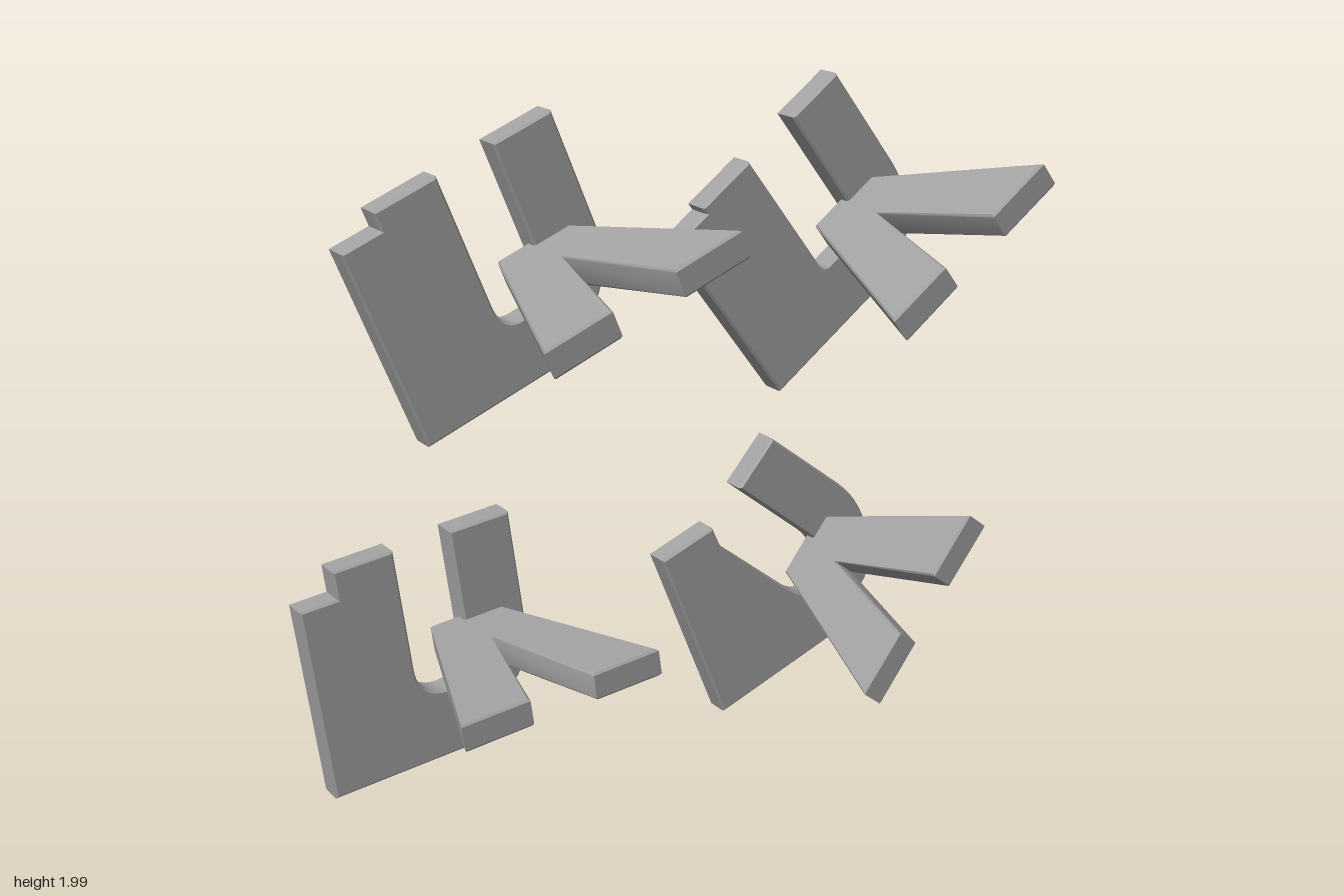
import * as THREE from 'three';
import { toCreasedNormals } from 'three/addons/utils/BufferGeometryUtils.js';

const grey = new THREE.MeshStandardMaterial({ color: 0xa0a0a0 });
grey.name = 'plain grey';

const THICK = 0.08;
const BEVEL = 0.006;

// Outline steps: two numbers draw a line, six numbers draw a bezier curve
function outline(steps) {
  const s = new THREE.Shape();
  s.moveTo(...steps[0]);
  for (const p of steps.slice(1)) {
    if (p.length === 2) s.lineTo(...p);
    else s.bezierCurveTo(...p);
  }
  return s;
}

// Slab with finely chamfered rims, centred on its thickness
function slab(steps) {
  const g = new THREE.ExtrudeGeometry(outline(steps), {
    depth: THICK - 2 * BEVEL, bevelEnabled: true, bevelSegments: 1,
    bevelSize: BEVEL, bevelThickness: BEVEL, bevelOffset: -BEVEL, curveSegments: 14,
  });
  g.translate(0, 0, -THICK / 2 + BEVEL);
  return toCreasedNormals(g, 0.5);
}

// Straight hook plate: heel height, outer bend, top height, slot sides and bend, shoulder width
function hook({ heel, bend, top, slot, slotBend, shoulder, right }) {
  return [
    [0, 0], [0.54, 0], [0.54, heel], bend, [right, top],
    [slot[1], top], ...slotBend, [slot[0], top],
    [shoulder, top], [shoulder, 0.582], [0, 0.582],
  ];
}

const roundHook = hook({
  heel: 0.097, bend: [0.62, 0.16, 0.656, 0.21, 0.656, 0.29], right: 0.656, top: 0.665,
  slot: [0.295, 0.469], shoulder: 0.112,
  slotBend: [[0.469, 0.29], [0.469, 0.172, 0.295, 0.172, 0.295, 0.29]],
});
const softHook = hook({
  heel: 0.063, bend: [0.63, 0.13, 0.667, 0.2, 0.667, 0.3], right: 0.667, top: 0.635,
  slot: [0.311, 0.483], shoulder: 0.12,
  slotBend: [[0.483, 0.25], [0.483, 0.2, 0.46, 0.175, 0.42, 0.175],
    [0.37, 0.175], [0.335, 0.175, 0.311, 0.2, 0.311, 0.25]],
});
const squareHook = hook({
  heel: 0.03, bend: [0.635, 0.07, 0.67, 0.17, 0.67, 0.28], right: 0.67, top: 0.603,
  slot: [0.313, 0.49], shoulder: 0.127,
  slotBend: [[0.49, 0.21], [0.489, 0.19, 0.485, 0.18, 0.465, 0.18],
    [0.338, 0.18], [0.32, 0.18, 0.314, 0.19, 0.313, 0.21]],
});
const leaningHook = [
  [0, 0], [0.54, 0], [0.54, 0.069],
  [0.63, 0.11, 0.68, 0.15, 0.68, 0.25], [0.68, 0.36, 0.67, 0.4, 0.629, 0.472],
  [0.477, 0.728], [0.317, 0.645], [0.48, 0.365],
  [0.53, 0.28, 0.5, 0.19, 0.42, 0.185], [0.38, 0.185, 0.35, 0.245, 0.325, 0.287],
  [0.192, 0.513], [0.188, 0.582], [0, 0.582],
];

// Two-pronged fork, flat in x and z, reaching forward
const forkGeometry = slab([
  [-0.1, 0], [0.1, 0], [0.3, 0.585], [0.096, 0.585], [0, 0.185], [-0.096, 0.585], [-0.3, 0.585],
]);
forkGeometry.rotateX(Math.PI / 2);

// Corner position, tilt, and the fork's place and extra turn on each plate
const units = [
  { name: 'lowerRightUnit', plate: roundHook, at: [-0.881, 0.056, -0.41], tilt: 7.8, fork: [0.481, 0.35], turn: 0 },
  { name: 'upperRightUnit', plate: softHook, at: [-0.69, 1.135, -0.13], tilt: 22.4, fork: [0.486, 0.295], turn: 0 },
  { name: 'upperLeftUnit', plate: squareHook, at: [0.407, 1.111, -0.13], tilt: 37.2, fork: [0.483, 0.243], turn: 0 },
  { name: 'lowerLeftUnit', plate: leaningHook, at: [0.407, 0.011, -0.41], tilt: 22.2, fork: [0.483, 0.295], turn: 30.7 },
];

export function createModel() {
  const model = new THREE.Group();
  model.name = 'fourHookedPlates';
  for (const u of units) {
    const unit = new THREE.Group();
    unit.name = u.name;
    unit.position.set(...u.at);
    unit.rotation.z = THREE.MathUtils.degToRad(u.tilt);

    const plate = new THREE.Mesh(slab(u.plate), grey);
    plate.name = 'hookPlate';

    const fork = new THREE.Mesh(forkGeometry, grey);
    fork.name = 'fork';
    fork.position.set(u.fork[0], u.fork[1], 0);
    fork.rotation.z = THREE.MathUtils.degToRad(u.turn);

    unit.add(plate, fork);
    model.add(unit);
  }
  return model;
}
